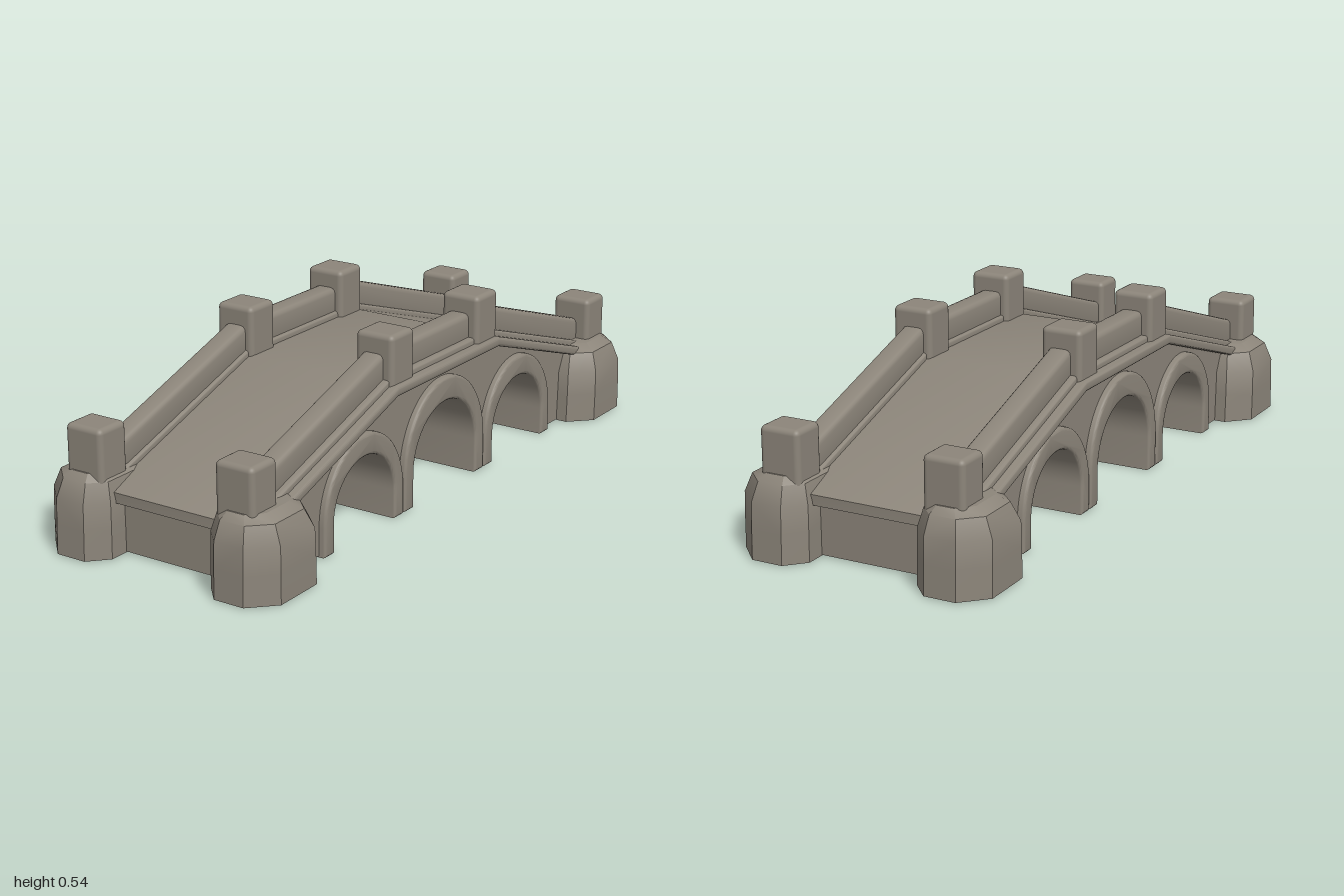
import * as THREE from 'three';
import { toCreasedNormals } from 'three/addons/utils/BufferGeometryUtils.js';
import { RoundedBoxGeometry } from 'three/addons/geometries/RoundedBoxGeometry.js';
import { ConvexGeometry } from 'three/addons/geometries/ConvexGeometry.js';

// Deck line: flat crown with a straight ramp at each end
const CROWN_Z = 0.275, CROWN_Y = 0.4, END_Z = 0.92, END_Y = 0.188;
const deckY = (z) => {
  const t = Math.max(0, (Math.abs(z) - CROWN_Z) / (END_Z - CROWN_Z));
  return CROWN_Y + (END_Y - CROWN_Y) * t;
};

// centre z, opening half width, spring height, outer trim half width and rise
const ARCHES = [
  { z: -0.42, r: 0.15, spring: 0.085, rx: 0.196, ry: 0.215 },
  { z: 0, r: 0.17, spring: 0.105, rx: 0.218, ry: 0.243 },
  { z: 0.42, r: 0.15, spring: 0.085, rx: 0.196, ry: 0.215 },
];

// Extrudes a (z, y) outline across x, centred on x, with softened side edges
function extrudeAcross(shape, width, bevel) {
  const geo = new THREE.ExtrudeGeometry(shape, {
    depth: width - 2 * bevel,
    bevelEnabled: bevel > 0,
    bevelThickness: bevel,
    bevelSize: bevel,
    bevelOffset: -bevel,
    bevelSegments: 3,
    curveSegments: 20,
  });
  geo.translate(0, 0, -(width - 2 * bevel) / 2);
  geo.rotateY(-Math.PI / 2);
  return toCreasedNormals(geo, 0.6);
}

// Band that follows the deck line between two vertical offsets
function deckBand(lo, hi, endZ, width, bevel) {
  const zs = [-endZ, -CROWN_Z, CROWN_Z, endZ];
  const top = zs.map((z) => new THREE.Vector2(z, deckY(z) + hi));
  const bottom = zs.map((z) => new THREE.Vector2(z, deckY(z) + lo)).reverse();
  return extrudeAcross(new THREE.Shape([...bottom.reverse(), ...top.reverse()]), width, bevel);
}

// Solid masonry core with the three openings cut from below
function coreGeometry() {
  const s = new THREE.Shape();
  const end = 0.885;
  s.moveTo(-end, 0.005);
  for (const a of ARCHES) {
    const rx = (a.r + a.rx) / 2, ry = (a.r + a.ry) / 2;
    s.lineTo(a.z - rx, 0.005);
    s.lineTo(a.z - rx, a.spring);
    s.absellipse(a.z, a.spring, rx, ry, Math.PI, 0, true);
    s.lineTo(a.z + rx, 0.005);
  }
  s.lineTo(end, 0.005);
  for (const z of [end, CROWN_Z, -CROWN_Z, -end]) s.lineTo(z, deckY(z) - 0.015);
  s.closePath();
  return extrudeAcross(s, 0.57, 0);
}

// Arch lining, standing slightly proud of the side walls
function archGeometry(a) {
  const s = new THREE.Shape();
  s.moveTo(a.z + a.r, 0);
  s.lineTo(a.z + a.rx, 0);
  s.lineTo(a.z + a.rx, a.spring);
  s.absellipse(a.z, a.spring, a.rx, a.ry, 0, Math.PI, false);
  s.lineTo(a.z - a.rx, 0);
  s.lineTo(a.z - a.r, 0);
  s.lineTo(a.z - a.r, a.spring);
  s.absellipse(a.z, a.spring, a.r, a.r, Math.PI, 0, true);
  s.closePath();
  return extrudeAcross(s, 0.612, 0.009);
}

// Rough chamfered corner block, drawn in as it rises
function abutmentGeometry(sx, sz) {
  const foot = [[0.168, 0.705], [0.32, 0.705], [0.385, 0.77], [0.385, 0.93],
    [0.315, 1], [0.22, 1], [0.168, 0.945]];
  const rings = [[0.003, 1, 1], [0.09, 1, 0.98], [0.165, 0.99, 0.96], [0.22, 0.82, 0.8], [0.24, 0.56, 0.62]];
  const points = [];
  for (const [y, kx, kz] of rings) {
    for (const [x, z] of foot) {
      points.push(new THREE.Vector3(sx * (0.255 + (x - 0.255) * kx), y, sz * (0.88 + (z - 0.88) * kz)));
    }
  }
  return toCreasedNormals(new ConvexGeometry(points), 0.5);
}

export function createModel() {
  const model = new THREE.Group();
  model.name = 'archedBridge';
  const stone = new THREE.MeshStandardMaterial({ color: 0x8c857a });
  stone.name = 'stone';

  const add = (name, geometry, x = 0, y = 0, z = 0) => {
    const mesh = new THREE.Mesh(geometry, stone);
    mesh.name = name;
    mesh.position.set(x, y, z);
    model.add(mesh);
  };

  add('core', coreGeometry());
  ARCHES.forEach((a) => add('archLining', archGeometry(a)));
  add('deck', deckBand(-0.03, 0, END_Z, 0.64, 0.008));

  // Railings, posts and corner blocks on both sides
  for (const sx of [-1, 1]) {
    const side = sx > 0 ? 'left' : 'right';
    add(side + 'Curb', deckBand(-0.02, 0.018, 0.88, 0.1, 0.008), sx * 0.243);
    add(side + 'Rail', deckBand(0, 0.09, 0.88, 0.07, 0.016), sx * 0.238);
    for (const sz of [-1, 1]) {
      const end = sz > 0 ? 'Front' : 'Back';
      add(side + end + 'CrownPost', new RoundedBoxGeometry(0.124, 0.185, 0.115, 3, 0.016), sx * 0.242, 0.4515, sz * 0.228);
      add(side + end + 'EndPost', new RoundedBoxGeometry(0.124, 0.21, 0.11, 3, 0.016), sx * 0.252, 0.264, sz * 0.895);
      add(side + end + 'Abutment', abutmentGeometry(sx, sz));
    }
  }
  return model;
}
